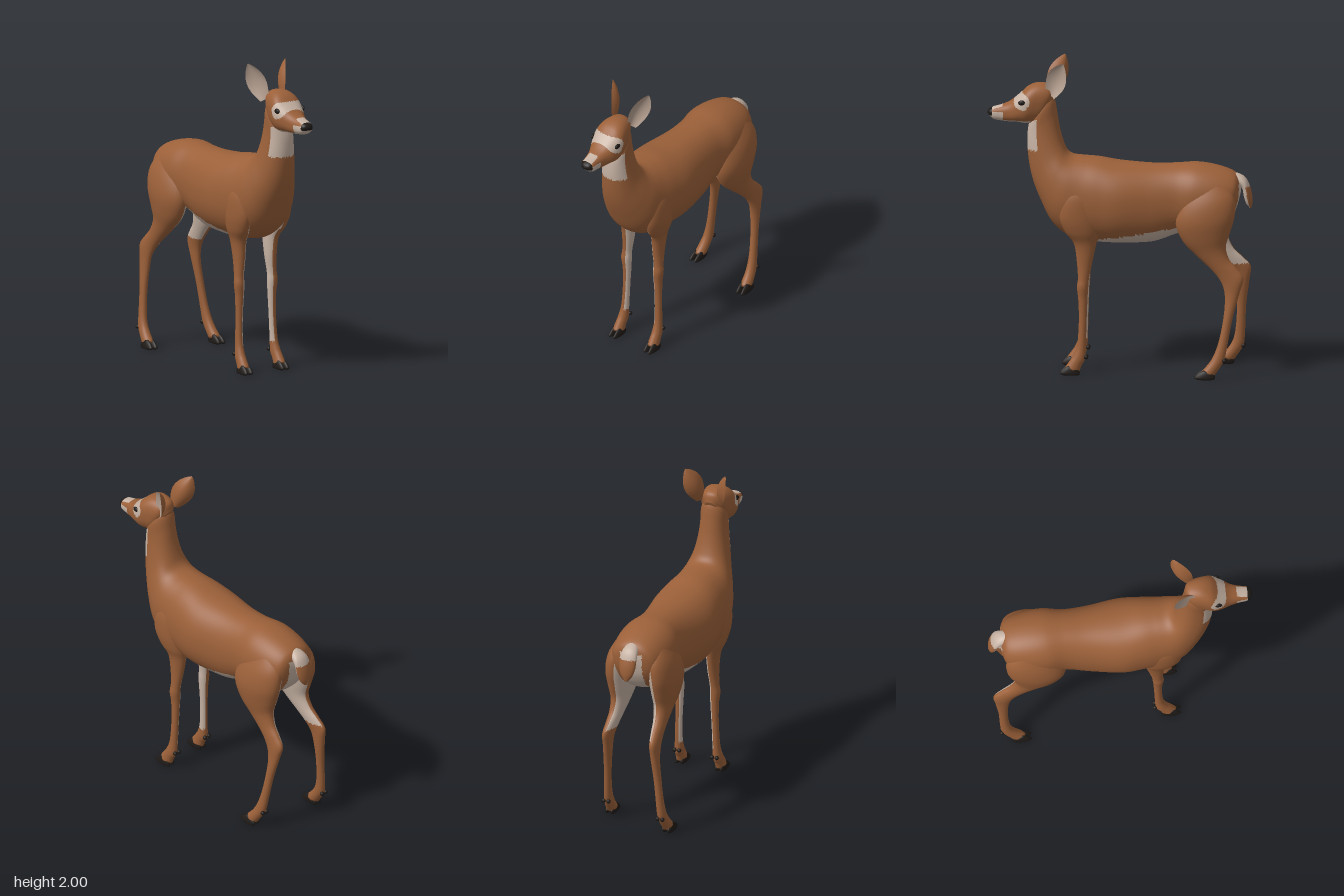
import * as THREE from 'three';

const mat = (name, color, side = THREE.FrontSide) => {
  const m = new THREE.MeshStandardMaterial({ color, side });
  m.name = name;
  return m;
};
const coat = mat('brown coat', 0x9b6039);
const pale = mat('pale fur', 0xc6b2a3);
const dark = mat('black horn', 0x1f1a17);
const earPink = mat('inner ear', 0xb8a292);
const palette = [coat, pale, dark];
const COAT = 0, PALE = 1, DARK = 2;

// Lofts ellipses through rings [z1, y1, z2, y2, halfWidth, xCentre];
// the two points span each ring in the side plane.
function loft(rings, { steps = 5, sides = 32, power = 1 } = {}) {
  const curve = f => new THREE.CatmullRomCurve3(rings.map(f), false, 'catmullrom', 0.5);
  const a = curve(r => new THREE.Vector3(r[4], r[1], r[0]));
  const b = curve(r => new THREE.Vector3(r[5] || 0, r[3], r[2]));
  const n = (rings.length - 1) * steps, pos = [], index = [];
  for (let i = 0; i <= n; i++) {
    const p = a.getPoint(i / n), q = b.getPoint(i / n);
    for (let j = 0; j < sides; j++) {
      const t = j / sides * Math.PI * 2, c = Math.cos(t), s = Math.sin(t);
      const k = 0.5 + 0.5 * Math.sign(c) * Math.abs(c) ** power;
      pos.push(q.x + p.x * Math.sign(s) * Math.abs(s) ** power,
        q.y + (p.y - q.y) * k, q.z + (p.z - q.z) * k);
      const j2 = (j + 1) % sides, u = i * sides, v = u + sides;
      if (i < n) index.push(u + j, v + j, u + j2, u + j2, v + j, v + j2);
    }
  }
  // end caps
  for (const [i, flip] of [[0, 0], [n, 1]]) {
    const p = a.getPoint(i / n), q = b.getPoint(i / n), centre = pos.length / 3;
    pos.push(q.x, (p.y + q.y) / 2, (p.z + q.z) / 2);
    for (let j = 0; j < sides; j++) {
      const u = i * sides + j, v = i * sides + (j + 1) % sides;
      index.push(centre, flip ? v : u, flip ? u : v);
    }
  }
  const g = new THREE.BufferGeometry();
  g.setAttribute('position', new THREE.Float32BufferAttribute(pos, 3));
  g.setIndex(index);
  g.computeVertexNormals();
  return g;
}

// Sorts the triangles into colour groups with rule(centre, normal)
function paint(g, rule) {
  const buckets = palette.map(() => []), tri = new THREE.Triangle();
  const c = new THREE.Vector3(), n = new THREE.Vector3(), idx = g.index.array;
  for (let i = 0; i < idx.length; i += 3) {
    tri.setFromAttributeAndIndices(g.attributes.position, idx[i], idx[i + 1], idx[i + 2]);
    buckets[rule(tri.getMidpoint(c), tri.getNormal(n))].push(idx[i], idx[i + 1], idx[i + 2]);
  }
  let start = 0;
  buckets.forEach((b, k) => { if (b.length) g.addGroup(start, b.length, k); start += b.length; });
  g.setIndex(buckets.flat());
  return g;
}

export function createModel() {
  const model = new THREE.Group();
  model.name = 'deer';
  const add = (name, geometry, material, parent = model) => {
    const m = new THREE.Mesh(geometry, material);
    m.name = name;
    parent.add(m);
    return m;
  };

  // Trunk and neck, with pale belly, rump and throat
  const trunk = loft([
    [-.757, 1.2, -.755, 1.15, .03], [-.74, 1.26, -.725, 1.05, .12], [-.7, 1.295, -.66, .96, .165],
    [-.6, 1.328, -.56, .92, .19], [-.48, 1.345, -.45, .92, .195], [-.35, 1.338, -.34, .885, .18],
    [-.2, 1.335, -.2, .838, .195], [0, 1.35, 0, .83, .225], [.13, 1.372, .15, .835, .215],
    [.22, 1.38, .3, .86, .2], [.29, 1.388, .42, .95, .185], [.33, 1.415, .5, 1.1, .155],
    [.355, 1.47, .555, 1.25, .122], [.377, 1.55, .58, 1.4, .1], [.393, 1.64, .582, 1.52, .088],
    [.41, 1.74, .57, 1.6, .085], [.44, 1.79, .55, 1.66, .07],
  ], { steps: 8, sides: 56, power: .92 });
  add('trunkAndNeck', paint(trunk, (c, n) => {
    if (c.z < .14 && c.z > -.46 && c.y < .868 + (.13 - c.z) * .17 && n.y < 0) return PALE;
    if (c.z < -.5 && c.y < 1.22 && Math.abs(c.x) < .075 && (n.y < 0 || n.z < -.6)) return PALE;
    if (c.y > 1.425 && c.y < 1.62 && c.z > .5 && n.z > .35) return PALE;
    return COAT;
  }), palette);

  // Head, with pale eye rings, muzzle band and chin, and a dark nose
  const head = loft([
    [.405, 1.77, .47, 1.64, .04], [.425, 1.828, .52, 1.6, .08], [.5, 1.847, .56, 1.59, .097],
    [.57, 1.828, .6, 1.59, .105], [.63, 1.775, .645, 1.597, .092], [.69, 1.727, .7, 1.598, .067],
    [.75, 1.702, .75, 1.603, .052], [.8, 1.688, .79, 1.61, .046], [.825, 1.674, .815, 1.628, .033],
    [.834, 1.658, .83, 1.645, .01],
  ], { steps: 10, sides: 64, power: .82 });
  add('head', paint(head, (c, n) => {
    if (c.z > .803 && c.y > 1.64) return DARK;
    if (((c.z - .615) / .05) ** 2 + ((c.y - 1.738) / .05) ** 2 < 1) return PALE;
    if (c.z > .735 && (c.y < 1.665 || (n.y > .4 && Math.abs(c.x) < .034))) return PALE;
    if (c.z > .56 && c.y < 1.612 && n.y < -.3) return PALE;
    return COAT;
  }), palette);

  // Tail, pale above and below with a brown outer tip
  const tail = loft([
    [-.68, 1.22, -.68, 1.285, .035], [-.735, 1.205, -.74, 1.278, .048], [-.765, 1.18, -.79, 1.245, .056],
    [-.775, 1.13, -.82, 1.175, .055], [-.79, 1.085, -.83, 1.11, .04], [-.812, 1.055, -.825, 1.06, .01],
  ], { steps: 6 });
  add('tail', paint(tail, (c, n) => c.y < 1.2 && n.z < .1 ? COAT : PALE), palette);

  // Ears: a cupped inner face and a deeper back sharing one rim
  const earFace = (depth, flip) => {
    const g = new THREE.PlaneGeometry(2, 1, 14, 18), p = g.attributes.position;
    for (let i = 0; i < p.count; i++) {
      const v = p.getX(i), u = p.getY(i) + .5;
      const w = .004 + .066 * Math.sin(Math.PI * (.13 + .87 * u ** 1.15)) ** .85;
      p.setXYZ(i, w * v, u * .25, -depth * (1 - v * v) * w / .07);
    }
    if (flip) g.setIndex(Array.from(g.index.array).reverse());
    g.computeVertexNormals();
    return g;
  };
  const axis = new THREE.Vector3(.07, .23, -.09).normalize();
  const width = new THREE.Vector3().crossVectors(axis, new THREE.Vector3(.88, 0, .47)).normalize();
  const frame = new THREE.Matrix4()
    .makeBasis(width, axis, new THREE.Vector3().crossVectors(width, axis))
    .setPosition(.073, 1.775, .44);

  const dewclaw = new THREE.SphereGeometry(.014, 10, 8);
  for (const s of [1, -1]) {
    const side = s > 0 ? 'left' : 'right';
    const ear = new THREE.Group();
    ear.name = side + 'Ear';
    ear.scale.x = s;
    model.add(ear);
    add('innerEar', earFace(.028, false).applyMatrix4(frame), earPink, ear);
    add('earBack', earFace(.042, true).applyMatrix4(frame), coat, ear);

    // Eyes
    const eye = add(side + 'Eye', new THREE.SphereGeometry(.025, 18, 12), dark);
    eye.scale.set(.45, .65, 1);
    eye.position.set(s * .094, 1.736, .612);

    // Leg with cloven hoof and dewclaws
    const leg = (name, rings, hoof, claw, paleAbove, cut) => {
      const group = new THREE.Group();
      group.name = side + name;
      model.add(group);
      const place = r => [r[0], r[1], r[2], r[3], r[4], s * r[5]];
      add('leg', paint(loft(rings.map(place)), (c, n) =>
        n.x * s < cut && c.y > paleAbove ? PALE : COAT), palette, group);
      for (const t of [-1, 1]) {
        add('toe', loft(hoof.map(([a, b, c, d, w, x]) =>
          [a, b, c, d, w, s * x + t * .018]), { steps: 3, sides: 16 }), dark, group);
        const d = add('dewclaw', dewclaw, dark, group);
        d.position.set(s * claw[0] + t * .016, claw[1], claw[2]);
      }
    };
    leg('FrontLeg', [
      [.32, 1.25, .2, 1.25, .03, .125], [.36, 1.15, .15, 1.15, .052, .15], [.375, 1.02, .13, 1.02, .058, .15],
      [.34, .92, .13, .92, .054, .138], [.285, .84, .145, .84, .042, .122], [.267, .72, .17, .72, .035, .118],
      [.26, .62, .19, .62, .03, .123], [.266, .56, .195, .56, .033, .125], [.258, .48, .2, .48, .027, .122],
      [.254, .35, .205, .35, .023, .125], [.263, .2, .21, .18, .024, .13], [.285, .13, .215, .1, .03, .133],
      [.31, .09, .235, .06, .031, .135], [.342, .045, .25, .022, .034, .136],
    ], [
      [.32, .06, .26, .04, .012, .136], [.35, .04, .25, .022, .017, .136],
      [.373, .012, .25, .002, .018, .137], [.355, 0, .27, 0, .01, .137],
    ], [.13, .115, .208], .17, -.45);

    // The right hind foot stands a little further back
    const shift = r => {
      const k = y => s > 0 ? 0 : -.1 * THREE.MathUtils.clamp((.85 - y) / .7, 0, 1);
      return [r[0] + k(r[1]), r[1], r[2] + k(r[3]), r[3], r[4], r[5]];
    };
    leg('HindLeg', [
      [-.43, 1.22, -.64, 1.26, .04, .12], [-.37, 1.09, -.72, 1.16, .083, .135], [-.355, .98, -.725, 1.04, .088, .15],
      [-.4, .87, -.695, .93, .075, .15], [-.48, .785, -.67, .84, .055, .15], [-.56, .71, -.69, .76, .041, .155],
      [-.62, .645, -.74, .7, .034, .162], [-.655, .58, -.78, .64, .03, .17], [-.665, .5, -.758, .55, .027, .175],
      [-.655, .38, -.715, .39, .024, .188], [-.63, .25, -.685, .23, .024, .2], [-.6, .16, -.665, .13, .028, .208],
      [-.565, .1, -.64, .08, .031, .213], [-.515, .045, -.6, .022, .034, .218],
    ].map(shift), [
      [-.535, .06, -.59, .04, .012, .218], [-.5, .04, -.605, .022, .017, .22],
      [-.476, .012, -.6, .002, .018, .222], [-.495, 0, -.575, 0, .01, .222],
    ].map(shift), [.21, .12, -.663 - (s > 0 ? 0 : .1)], .66, -.4);
  }
  return model;
}
